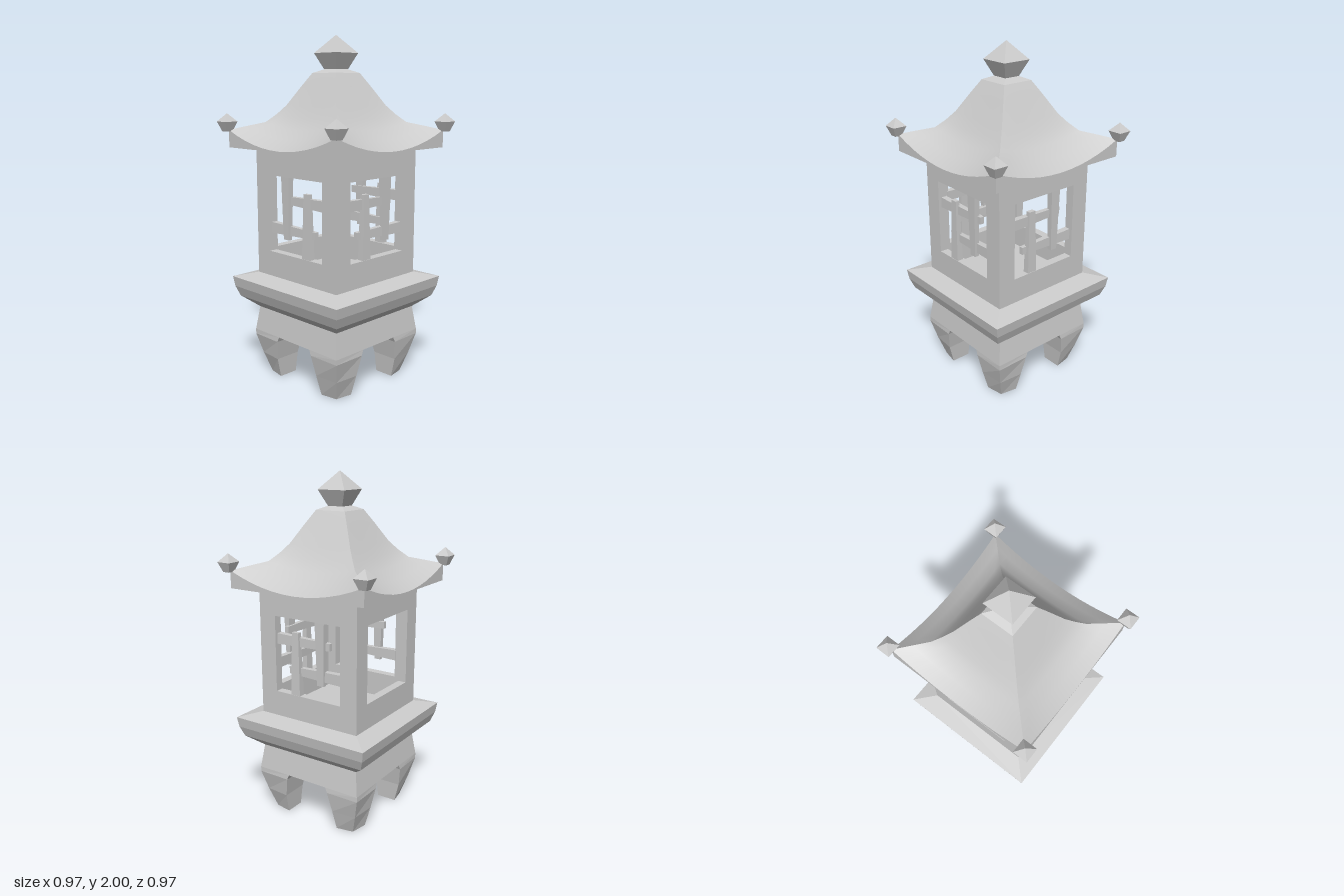
import * as THREE from 'three';
import { toCreasedNormals, mergeGeometries } from 'three/addons/utils/BufferGeometryUtils.js';

const flat = new THREE.MeshStandardMaterial({ color: 0xcccccc, flatShading: true });
const smooth = new THREE.MeshStandardMaterial({ color: 0xcccccc });

function add(parent, name, geometry, material = flat) {
  const mesh = new THREE.Mesh(geometry, material);
  mesh.name = name;
  parent.add(mesh);
  return mesh;
}

// Square solid from a profile of [half width, y], bottom to top
function squareLoft(profile) {
  const points = profile.map(([h, y]) => new THREE.Vector2(h * Math.SQRT2, y));
  return new THREE.LatheGeometry(points, 4, Math.PI / 4);
}

// Corner leg: square rings [y, inner, outer, outermost corner], top to bottom
function legGeometry() {
  const rings = [[0.27, 0.13, 0.343, 0.343], [0.24, 0.143, 0.345, 0.343],
    [0.12, 0.166, 0.325, 0.312], [0, 0.175, 0.293, 0.275]];
  const pos = [], index = [];
  for (const [y, i, o, c] of rings) pos.push(i, y, i, i, y, o, c, y, c, o, y, i);
  for (let r = 0; r < rings.length - 1; r++) {
    for (let k = 0; k < 4; k++) {
      const a = r * 4 + k, b = r * 4 + (k + 1) % 4;
      index.push(a, a + 4, b, b, a + 4, b + 4);
    }
  }
  const f = (rings.length - 1) * 4;
  index.push(f, f + 2, f + 1, f, f + 3, f + 2);
  const g = new THREE.BufferGeometry();
  g.setAttribute('position', new THREE.Float32BufferAttribute(pos, 3));
  g.setIndex(index);
  g.computeVertexNormals();
  return g;
}

// Wall panel with a square window, facing +z
function wallGeometry() {
  const rect = (T, h, y0, y1) => new T([[-h, y0], [h, y0], [h, y1], [-h, y1]]
    .map(([x, y]) => new THREE.Vector2(x, y)));
  const shape = rect(THREE.Shape, 0.325, 0.61, 1.38);
  shape.holes.push(rect(THREE.Path, 0.218, 0.775, 1.22));
  return new THREE.ExtrudeGeometry(shape, { depth: 0.05, bevelEnabled: false }).translate(0, 0, 0.275);
}

// Tapered square bar from one end to the other
function barGeometry(x0, y0, x1, y1, w0, w1, z) {
  const len = Math.hypot(x1 - x0, y1 - y0);
  return new THREE.CylinderGeometry(w1 / Math.SQRT2, w0 / Math.SQRT2, len, 4)
    .rotateY(Math.PI / 4)
    .scale(1, 1, 0.6)
    .rotateZ(Math.atan2(y1 - y0, x1 - x0) - Math.PI / 2)
    .translate((x0 + x1) / 2, (y0 + y1) / 2, z);
}

// Four interlocking window bars; m = -1 mirrors them
function lattice(m) {
  const group = new THREE.Group();
  group.name = 'windowLattice';
  add(group, 'upperBar', barGeometry(-0.225 * m, 1.085, 0.135 * m, 1.085, 0.062, 0.042, 0.288));
  add(group, 'lowerBar', barGeometry(0.225 * m, 0.912, -0.14 * m, 0.912, 0.064, 0.042, 0.288));
  add(group, 'risingBar', barGeometry(-0.085 * m, 0.77, -0.085 * m, 1.14, 0.062, 0.042, 0.304));
  add(group, 'hangingBar', barGeometry(0.083 * m, 1.225, 0.083 * m, 0.86, 0.062, 0.042, 0.304));
  return group;
}

// One slope of the roof with its fascia: rows [half width, ridge y, sag at middle]
function roofSide() {
  const rows = [[0.095, 1.79, 0], [0.14, 1.715, 0], [0.2, 1.61, 0.006], [0.24, 1.56, 0.018],
    [0.285, 1.515, 0.035], [0.36, 1.493, 0.065], [0.435, 1.47, 0.095], [0.435, 1.37, 0]];
  const cols = 12;
  const g = new THREE.PlaneGeometry(2, 1, cols, rows.length - 1);
  const p = g.attributes.position;
  for (let i = 0; i < p.count; i++) {
    const [half, y, sag] = rows[Math.floor(i / (cols + 1))];
    const u = p.getX(i);
    p.setXYZ(i, half * u, y - sag * (1 - u * u), half);
  }
  return toCreasedNormals(g, 0.75);
}

export function createModel() {
  const model = new THREE.Group();
  model.name = 'lantern';

  // Legs under a square apron
  add(model, 'legApron', squareLoft([[0, 0.27], [0.343, 0.27], [0.322, 0.42], [0, 0.42]]));
  for (let k = 0; k < 4; k++) add(model, 'leg', legGeometry()).rotation.y = k * Math.PI / 2;

  // Platform, whose top is the floor of the lamp chamber
  add(model, 'platform', squareLoft([[0, 0.41], [0.32, 0.41], [0.405, 0.48], [0.427, 0.54],
    [0.436, 0.6], [0.325, 0.628], [0, 0.628]]));

  // Four windowed walls; the back window is open
  for (let k = 0; k < 4; k++) {
    const side = new THREE.Group();
    side.name = ['frontWall', 'leftWall', 'backWall', 'rightWall'][k];
    side.rotation.y = k * Math.PI / 2;
    add(side, 'wallPanel', wallGeometry());
    if (k !== 2) side.add(lattice(k === 3 ? -1 : 1));
    model.add(side);
  }

  // Sweeping roof, soffit and cap
  const sides = [0, 1, 2, 3].map((k) => roofSide().rotateY(k * Math.PI / 2));
  add(model, 'roof', mergeGeometries(sides), smooth);
  add(model, 'soffit', new THREE.PlaneGeometry(0.87, 0.87).rotateX(Math.PI / 2).translate(0, 1.37, 0));
  add(model, 'roofCap', squareLoft([[0.095, 1.79], [0.045, 1.812], [0, 1.812]]));

  // Pointed finials on the peak and the corners
  add(model, 'peakFinial', squareLoft([[0, 1.805], [0.045, 1.805], [0.088, 1.9], [0, 2]]));
  for (const x of [-1, 1]) {
    for (const z of [-1, 1]) {
      const finial = squareLoft([[0, 1.462], [0.021, 1.462], [0.042, 1.518], [0, 1.565]]);
      add(model, 'cornerFinial', finial).position.set(x * 0.441, 0, z * 0.441);
    }
  }
  return model;
}
